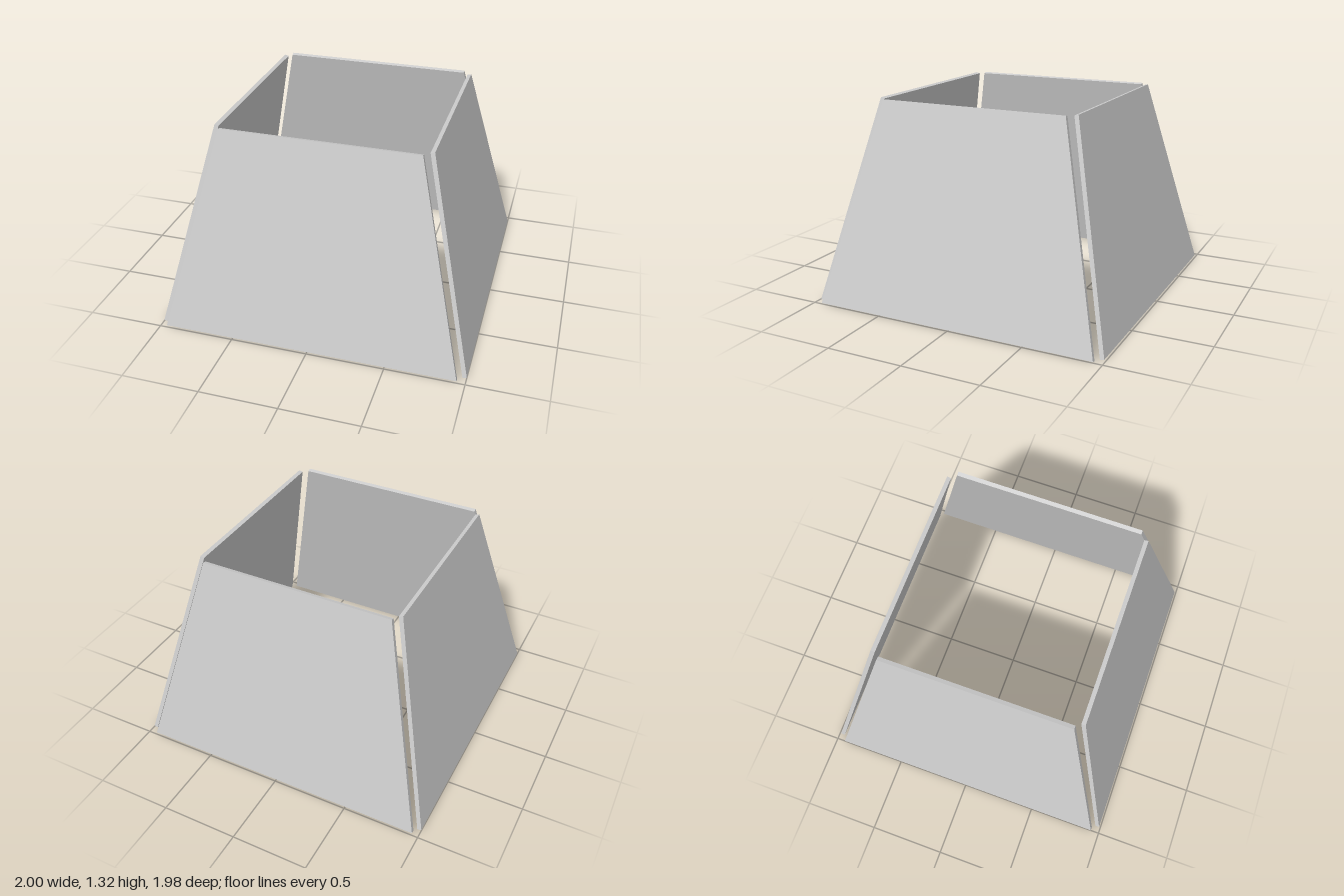
import * as THREE from 'three';

const RISE = 1.311; // height of a panel's inner face
const THICKNESS = 0.027;

// Flat trapezoid board, foot of its inner face on y = 0, leaning inwards by `lean` at the top
function panelGeometry(bottomHalf, topHalf, lean) {
  const slope = Math.hypot(RISE, lean);
  const shape = new THREE.Shape([
    new THREE.Vector2(-bottomHalf, 0),
    new THREE.Vector2(bottomHalf, 0),
    new THREE.Vector2(topHalf, slope),
    new THREE.Vector2(-topHalf, slope),
  ]);
  const geometry = new THREE.ExtrudeGeometry(shape, { depth: THICKNESS, bevelEnabled: false });
  return geometry.rotateX(-Math.atan2(lean, RISE));
}

export function createModel() {
  const model = new THREE.Group();
  model.name = 'taperedShade';
  const material = new THREE.MeshStandardMaterial({ color: 0xcccccc, flatShading: true });

  const wide = panelGeometry(0.952, 0.628, 0.314);
  const narrow = panelGeometry(0.943, 0.621, 0.321);

  // Four separate panels with open gaps at the corners
  const panels = [
    ['frontPanel', wide, 0, -0.006, 0.964],
    ['backPanel', wide, Math.PI, -0.006, -0.964],
    ['leftPanel', narrow, Math.PI / 2, 0.974, 0],
    ['rightPanel', narrow, -Math.PI / 2, -0.974, 0],
  ];
  for (const [name, geometry, turn, x, z] of panels) {
    const panel = new THREE.Mesh(geometry, material);
    panel.name = name;
    panel.rotation.y = turn;
    panel.position.set(x, 0, z);
    model.add(panel);
  }
  return model;
}
